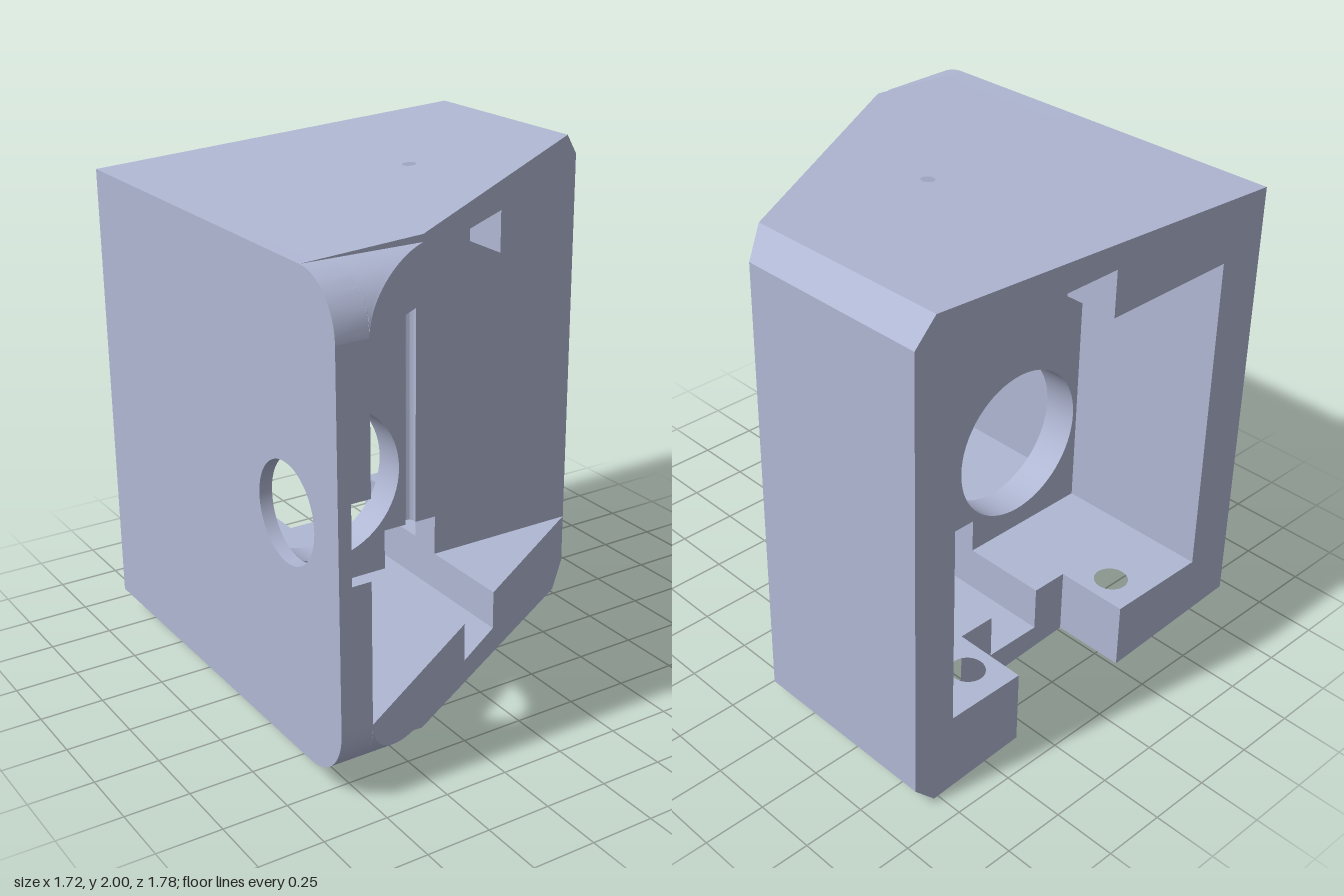
import * as THREE from 'three';
import { toCreasedNormals } from 'three/addons/utils/BufferGeometryUtils.js';

// Key dimensions
const W = 0.86, BACK = -0.89, FRONT = 0.89, MID = -0.09, WEB = -0.235;
const CH0 = -0.06, CH1 = 0.185;          // square channel, x range
const RIDGE = 0.77, R = 0.21, ZF = FRONT - R; // chamfer start, front fillet
const SLOPE = (FRONT - MID) / (W + 0.735);
const slant = x => MID + (W - x) * SLOPE;      // slanted front plane
const unslant = z => W - (z - MID) / SLOPE;
const top = x => (x <= RIDGE ? 2 - (RIDGE - x) * 0.0583 : 2 - (x - RIDGE) * 1.055);
const PIN = { x: 0.065, z: -0.1, r: 0.027 };

const mat = new THREE.MeshStandardMaterial({ color: 0xb0b7d3 });
mat.name = 'blueGrey';

function makeShape(pts, holes = []) {
  const s = new THREE.Shape(pts.map(p => new THREE.Vector2(p[0], p[1])));
  for (const [x, y, r] of holes) {
    const h = new THREE.Path();
    h.absarc(x, y, r, 0, Math.PI * 2, true);
    s.holes.push(h);
  }
  return s;
}
const extrude = (shape, depth) =>
  new THREE.ExtrudeGeometry(shape, { depth, bevelEnabled: false, curveSegments: 32 });

// Vertical prism over an (x, z) plan, from y0 up to the sloped roof
function prism(plan, y0, holes = []) {
  const g = extrude(makeShape(plan.map(([x, z]) => [x, -z]), holes.map(([x, z, r]) => [x, -z, r])), 1);
  g.rotateX(-Math.PI / 2);
  const p = g.attributes.position;
  for (let i = 0; i < p.count; i++) p.setY(i, p.getY(i) > 0.5 ? top(p.getX(i)) : y0);
  return g;
}
const rect = (a, b, c, d) => [[a, c], [b, c], [b, d], [a, d]];

// Rounded front corner: z-y sections lofted along x, clipped by the slant
function roundedCorner(y0) {
  const n = 20, m = 16, xs = [[-W, Math.PI / 2]];
  for (let k = 0; k <= n; k++) {
    const a = (Math.PI / 2) * (1 - k / n);
    xs.push([unslant(ZF + R * Math.sin(a)), a]);
  }
  const pos = [], idx = [];
  for (const [x, aMax] of xs) {
    pos.push(x, y0, MID, x, y0, ZF + R * Math.sin(aMax));
    for (let j = 0; j <= m; j++) {
      const a = aMax * (1 - j / m);
      pos.push(x, y0 + R * Math.cos(a), ZF + R * Math.sin(a));
    }
    pos.push(x, top(x), ZF, x, top(x), MID);
  }
  const c = m + 5;
  for (let i = 1; i < c - 1; i++) idx.push(0, i, i + 1);
  for (let s = 0; s < xs.length - 1; s++)
    for (let i = 0; i < c; i++) {
      const a = s * c + i, b = s * c + (i + 1) % c;
      idx.push(a, a + c, b + c, a, b + c, b);
    }
  const g = new THREE.BufferGeometry();
  g.setAttribute('position', new THREE.Float32BufferAttribute(pos, 3));
  g.setIndex(idx);
  return g;
}

// Mirror about y = 1, restoring the winding
function mirrorY(geo) {
  const g = geo.index ? geo.toNonIndexed() : geo;
  const p = g.attributes.position;
  for (let i = 0; i < p.count; i += 3) {
    const v = [0, 2, 1].map(k => [p.getX(i + k), 2 - p.getY(i + k), p.getZ(i + k)]);
    v.forEach((q, k) => p.setXYZ(i + k, ...q));
  }
  return g;
}

export function createModel() {
  const model = new THREE.Group();
  model.name = 'housing';
  const add = (parent, name, geo) => {
    for (const k of ['uv', 'normal']) geo.deleteAttribute(k);
    geo.computeVertexNormals();
    const mesh = new THREE.Mesh(toCreasedNormals(geo, 0.5), mat);
    mesh.name = name;
    parent.add(mesh);
  };

  // Roof and floor share one layout; the floor adds a slot and screw holes
  for (const floor of [false, true]) {
    const g = new THREE.Group();
    g.name = floor ? 'floor' : 'roof';
    model.add(g);
    const put = (name, geo) => add(g, name, floor ? mirrorY(geo) : geo);
    const yB = 1.67, yF = 1.695, S0 = -0.215, S1 = 0.345, SZ = -0.59;
    const screw = x => (floor ? [[x, -0.74, 0.067]] : []);

    put('rearRightSlab', prism(floor
      ? [[-W, BACK], [S0, BACK], [S0, SZ], [CH0, SZ], [CH0, MID], [-W, MID]]
      : rect(-W, CH0, BACK, MID), yB, screw(-0.33)));
    put('rearLeftSlab', prism(floor
      ? [[S1, BACK], [RIDGE, BACK], [RIDGE, MID], [CH1, MID], [CH1, SZ], [S1, SZ]]
      : rect(CH1, RIDGE, BACK, MID), yB, screw(0.46)));
    put('rearChamfer', prism(rect(RIDGE, W, BACK, MID), yB));
    const zc = floor ? SZ : BACK;
    put('channelSlab', prism(
      [[CH0, zc], [CH1, zc], [CH1, slant(CH1)], [CH0, slant(CH0)]], 1.855, [[PIN.x, PIN.z, PIN.r]]));

    // Part in front of the web, cut by the slanted plane
    const front = (a, b) => prism([[a, MID], [b, MID], [b, slant(b)], [a, slant(a)]], yF);
    put('roundedCorner', roundedCorner(yF));
    put('frontRightSlab', front(unslant(ZF), CH0));
    put('frontLeftSlab', front(CH1, RIDGE));
    put('frontChamfer', prism([[RIDGE, MID], [W, MID], [RIDGE, slant(RIDGE)]], yF));
  }

  // Web between the two cavities, in two panels beside the pin groove
  const G0 = 0.03, G1 = 0.1, y0 = 0.33, y1 = 1.67, c0 = 0.475, c1 = 1.53;
  const panel = (name, outer, notch, inner, holes) => {
    const geo = extrude(makeShape([[outer, y0], [notch, y0], [notch, c0], [inner, c0],
      [inner, c1], [notch, c1], [notch, y1], [outer, y1]], holes), MID - WEB);
    add(model, name, geo.translate(0, 0, WEB));
  };
  panel('webRight', -W, CH0, G0, [[-0.31, 0.735, 0.32]]);
  panel('webLeft', W, CH1, G1);

  // Column with the open half-round pin groove
  const half = Math.acos((PIN.z - MID) / PIN.r) ;
  const column = new THREE.Shape();
  column.moveTo(G0, -WEB);
  column.lineTo(G1, -WEB);
  column.lineTo(G1, -MID);
  for (let i = 0; i <= 20; i++) {
    const a = half - (2 * half * i) / 20; // angle from the rear direction
    column.lineTo(PIN.x + PIN.r * Math.sin(a), -PIN.z + PIN.r * Math.cos(a));
  }
  column.lineTo(G0, -MID);
  add(model, 'pinGroove', extrude(column, c1 - c0).rotateX(-Math.PI / 2).translate(0, c0, 0));

  // Rear side walls
  for (const [name, a, b] of [['rearWallRight', -W, -0.65], ['rearWallLeft', 0.68, W]]) {
    const box = new THREE.BoxGeometry(b - a, y1 - y0, WEB - BACK);
    add(model, name, box.translate((a + b) / 2, 1, (WEB + BACK) / 2).toNonIndexed());
  }

  // Front side wall: outer plate with bore, inner plate with open counterbore
  const bz = 0.548, br = 0.373, lo = 0.305, hi = 1.695;
  const xWall = (name, shape, x, d) =>
    add(model, name, extrude(shape, d).rotateY(Math.PI / 2).translate(x, 0, 0));
  xWall('sideWallOuter', makeShape([[-FRONT, lo], [-MID, lo], [-MID, hi], [-FRONT, hi]],
    [[-bz, 1, 0.188]]), -W, 0.05);
  const open = Math.acos((FRONT - bz) / br), pts = [[-FRONT, lo], [-MID, lo], [-MID, hi], [-FRONT, hi]];
  for (let i = 0; i <= 56; i++) {
    const a = Math.PI - open - (2 * (Math.PI - open) * i) / 56;
    pts.push([-bz + br * Math.cos(a), 1 + br * Math.sin(a)]);
  }
  xWall('sideWallInner', makeShape(pts), -0.81, 0.075);

  return model;
}
